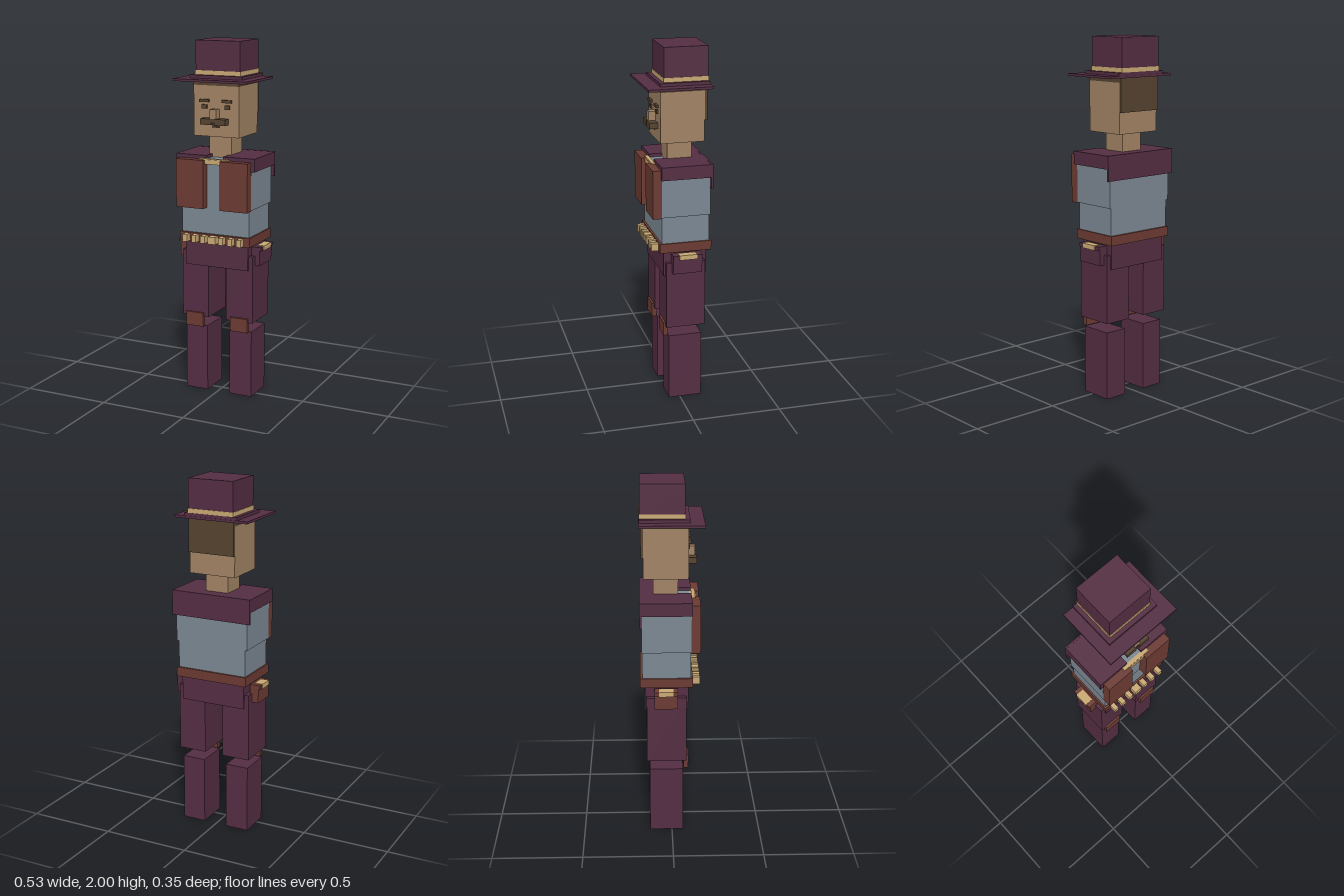
import * as THREE from 'three';

const paint = (name, color) => {
  const m = new THREE.MeshStandardMaterial({ color });
  m.name = name;
  return m;
};

export function createModel() {
  const purple = paint('plum cloth', 0x532d42);
  const grey = paint('grey shirt', 0x7b8792);
  const skin = paint('skin', 0xa08263);
  const leather = paint('brown leather', 0x6b3a32);
  const gold = paint('pale gold', 0xc8a873);
  const hair = paint('dark hair', 0x54422f);

  const root = new THREE.Group();
  root.name = 'hattedFigure';
  const group = (name) => {
    const g = new THREE.Group();
    g.name = name;
    root.add(g);
    return g;
  };
  // Box given by its lower and upper bounds on each axis
  const block = (parent, name, mat, [x0, x1], [y0, y1], [z0, z1]) => {
    const mesh = new THREE.Mesh(new THREE.BoxGeometry(x1 - x0, y1 - y0, z1 - z0), mat);
    mesh.position.set((x0 + x1) / 2, (y0 + y1) / 2, (z0 + z1) / 2);
    mesh.name = name;
    parent.add(mesh);
  };
  // Mirrored pair around the body's middle line
  const MID = 0.005;
  const pair = (parent, name, mat, inner, outer, ys, zs) => {
    block(parent, name + 'Left', mat, [MID + inner, MID + outer], ys, zs);
    block(parent, name + 'Right', mat, [MID - outer, MID - inner], ys, zs);
  };

  // Hat
  const hat = group('hat');
  block(hat, 'crown', purple, [-0.128, 0.138], [1.838, 2], [-0.171, 0.071]);
  block(hat, 'hatBand', gold, [-0.131, 0.141], [1.814, 1.838], [-0.174, 0.074]);
  block(hat, 'brimStep', purple, [-0.154, 0.163], [1.796, 1.814], [-0.175, 0.098]);
  block(hat, 'brim', purple, [-0.215, 0.224], [1.784, 1.797], [-0.177, 0.175]);

  // Head and face
  const head = group('head');
  block(head, 'skull', skin, [-0.131, 0.141], [1.482, 1.76], [-0.153, 0.091]);
  block(head, 'hairTop', hair, [-0.131, 0.141], [1.76, 1.784], [-0.153, 0.091]);
  block(head, 'hairBack', hair, [-0.131, 0.141], [1.6, 1.784], [-0.167, -0.153]);
  block(head, 'neck', skin, [-0.063, 0.071], [1.35, 1.482], [-0.1, 0.037]);
  pair(head, 'eyebrow', hair, 0.039, 0.095, [1.67, 1.685], [0.09, 0.106]);
  pair(head, 'eye', hair, 0.053, 0.084, [1.634, 1.656], [0.09, 0.1]);
  block(head, 'nose', skin, [-0.016, 0.024], [1.575, 1.635], [0.09, 0.13]);
  pair(head, 'moustache', hair, 0.01, 0.074, [1.551, 1.584], [0.09, 0.137]);
  block(head, 'moustacheBridge', hair, [-0.01, 0.02], [1.562, 1.584], [0.09, 0.133]);
  block(head, 'mouth', hair, [-0.015, 0.026], [1.533, 1.543], [0.09, 0.1]);

  // Torso and jacket
  const torso = group('torso');
  block(torso, 'chest', grey, [-0.212, 0.222], [1.09, 1.36], [-0.166, 0.105]);
  block(torso, 'waist', grey, [-0.2, 0.21], [0.93, 1.09], [-0.163, 0.103]);
  pair(torso, 'shoulder', purple, 0.05, 0.237, [1.305, 1.378], [-0.172, 0.11]);
  block(torso, 'collarBack', purple, [-0.232, 0.242], [1.24, 1.379], [-0.176, -0.164]);
  block(torso, 'collarBridge', purple, [-0.06, 0.07], [1.305, 1.378], [-0.172, -0.07]);
  pair(torso, 'vestPanel', leather, 0.05, 0.216, [1.086, 1.357], [0.105, 0.155]);
  block(torso, 'collarPin', gold, [-0.045, 0.055], [1.334, 1.36], [0.1, 0.135]);
  block(torso, 'collarPinTop', gold, [-0.08, 0.09], [1.356, 1.364], [0.11, 0.13]);

  // Belt with studs and a wider buckle
  const belt = group('belt');
  block(belt, 'strap', leather, [-0.209, 0.218], [0.885, 0.938], [-0.175, 0.115]);
  for (let i = -3; i <= 3; i++) {
    const x = MID + i * 0.0548, w = i === 0 ? 0.023 : 0.0135;
    block(belt, i === 0 ? 'buckle' : 'stud', gold, [x - w, x + w], [0.891, 0.932], [0.115, 0.155]);
  }

  // Hip holsters
  const holsters = group('holsters');
  block(holsters, 'rightHolster', leather, [-0.25, -0.2], [0.775, 0.857], [-0.098, 0.032]);
  block(holsters, 'rightHolsterRim', leather, [-0.259, -0.2], [0.855, 0.877], [-0.098, 0.032]);
  block(holsters, 'rightGrip', gold, [-0.264, -0.215], [0.853, 0.88], [-0.073, 0.007]);
  block(holsters, 'leftHolster', purple, [0.2, 0.25], [0.77, 0.857], [-0.115, 0.049]);
  block(holsters, 'leftHolsterRim', purple, [0.2, 0.257], [0.855, 0.876], [-0.115, 0.049]);
  block(holsters, 'leftGrip', gold, [0.22, 0.263], [0.853, 0.88], [-0.083, 0.016]);

  // Hips and legs
  const legs = group('legs');
  block(legs, 'hips', purple, [-0.185, 0.197], [0.745, 0.885], [-0.15, 0.09]);
  pair(legs, 'thigh', purple, 0.055, 0.217, [0.442, 0.825], [-0.14, 0.08]);
  pair(legs, 'kneePad', leather, 0.084, 0.191, [0.385, 0.465], [0.065, 0.092]);
  pair(legs, 'shin', purple, 0.07, 0.204, [0, 0.385], [-0.125, 0.063]);

  return root;
}
